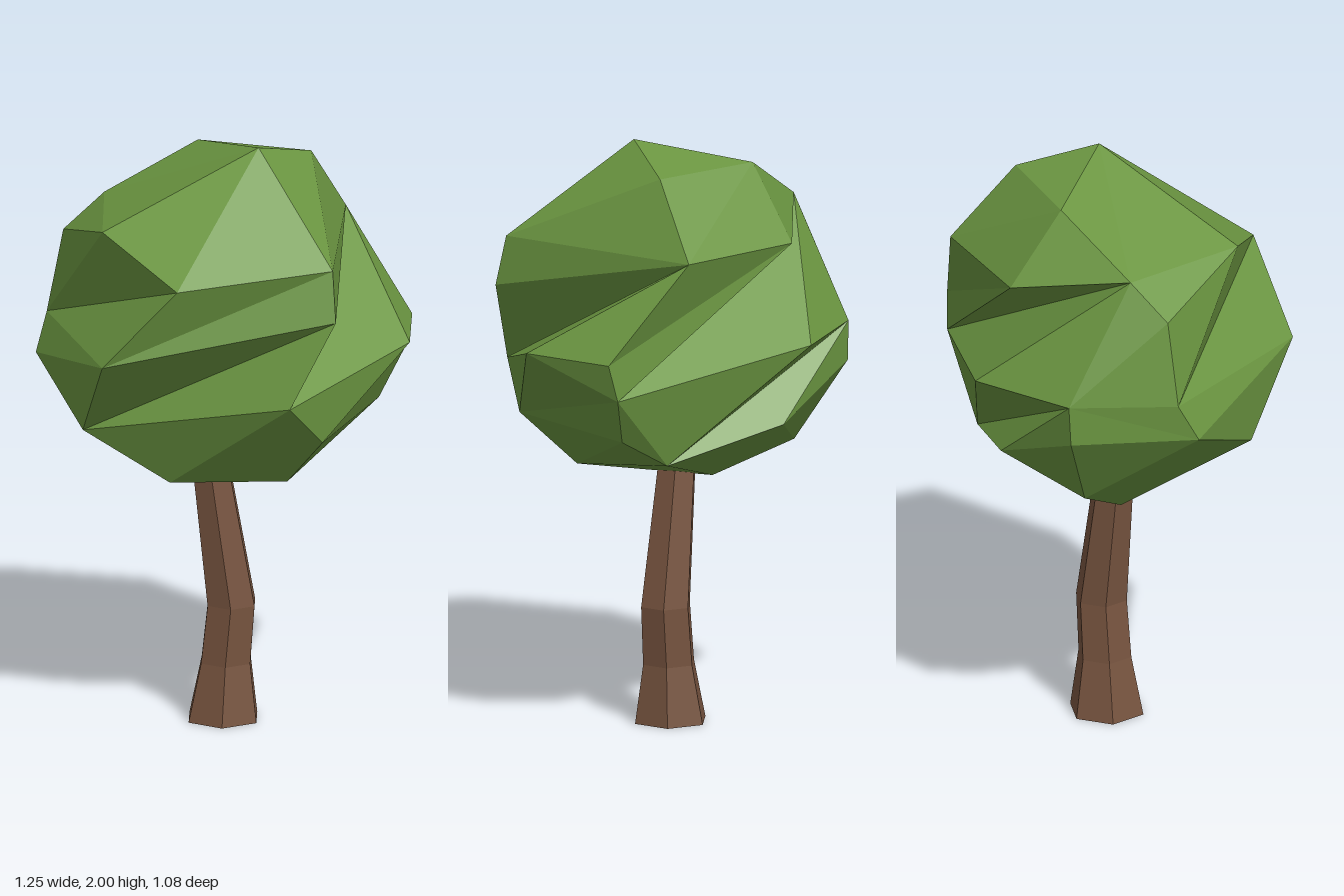
import * as THREE from 'three';

const leafGreen = new THREE.MeshStandardMaterial({ color: 0x6b9641, flatShading: true });
leafGreen.name = 'leafGreen';
const barkBrown = new THREE.MeshStandardMaterial({ color: 0x77543f, flatShading: true });
barkBrown.name = 'barkBrown';

// Trunk: six-sided tube, each ring shifted and scaled to make the bend
function makeTrunk() {
  const rings = [ // height, centre x, radius
    [0, 0, 0.13], [0.2, 0.01, 0.094], [0.4, 0.028, 0.09], [0.95, -0.05, 0.066],
  ];
  const geo = new THREE.CylinderGeometry(1, 1, 3, 6, 3);
  const pos = geo.attributes.position;
  for (let i = 0; i < pos.count; i++) {
    const [y, cx, r] = rings[Math.round(pos.getY(i) + 1.5)];
    pos.setXYZ(i, cx + pos.getX(i) * r, y, 0.025 + pos.getZ(i) * r);
  }
  geo.computeVertexNormals();
  const mesh = new THREE.Mesh(geo, barkBrown);
  mesh.name = 'trunk';
  return mesh;
}

// Crown: corner points in tiers from the top down, as x, y, z
const corners = {
  I: [0.12, 2, 0.09],
  D: [-0.09, 1.925, -0.245], J: [0.29, 1.925, -0.13],
  W: [-0.395, 1.755, 0.265], E: [-0.4, 1.755, -0.2],
  K: [0.4, 1.68, -0.32], C: [-0.05, 1.68, -0.43], R: [0.375, 1.675, 0.43],
  F: [-0.535, 1.64, -0.15], U: [-0.14, 1.63, 0.54],
  Q: [0.386, 1.505, 0.465],
  N: [0.625, 1.355, -0.15], O: [0.625, 1.355, 0.18], A: [0, 1.355, -0.54],
  B: [-0.37, 1.355, -0.44], G: [-0.59, 1.355, -0.15], V: [-0.39, 1.355, 0.505],
  M: [0.6, 1.23, -0.17], S: [0.235, 1.22, 0.52],
  H: [-0.625, 1.23, -0.09], b: [-0.375, 1.22, -0.435],
  m: [0.515, 1.07, -0.13], s: [0.34, 1.07, 0.4],
  v: [-0.46, 1.07, 0.27], a: [0, 1.07, -0.43],
  p: [0.38, 0.975, -0.22], q: [-0.27, 0.95, -0.29],
  r: [-0.17, 0.89, 0.275], t: [0.22, 0.89, 0.25],
  Z: [-0.155, 0.815, -0.04],
};

// Facets fan out from a hub corner (first letter) round its neighbours
const fans = [
  'IJDEWURJ', 'KDJRQSONCD', 'EDCMABFW', 'CNM', 'VRUGHvQR', 'WFGU',
  'BApabHGF', 'MNOsmpA', 'SQvrtsO', 'trZpms', 'ZrvHqp', 'qHbap',
];

function makeCrown() {
  const verts = [];
  for (const [hub, ...rim] of fans) {
    for (let i = 0; i < rim.length - 1; i++) {
      verts.push(...corners[hub], ...corners[rim[i]], ...corners[rim[i + 1]]);
    }
  }
  const geo = new THREE.BufferGeometry();
  geo.setAttribute('position', new THREE.Float32BufferAttribute(verts, 3));
  geo.computeVertexNormals();
  const mesh = new THREE.Mesh(geo, leafGreen);
  mesh.name = 'crown';
  return mesh;
}

export function createModel() {
  const tree = new THREE.Group();
  tree.name = 'tree';
  tree.add(makeTrunk(), makeCrown());
  return tree;
}
